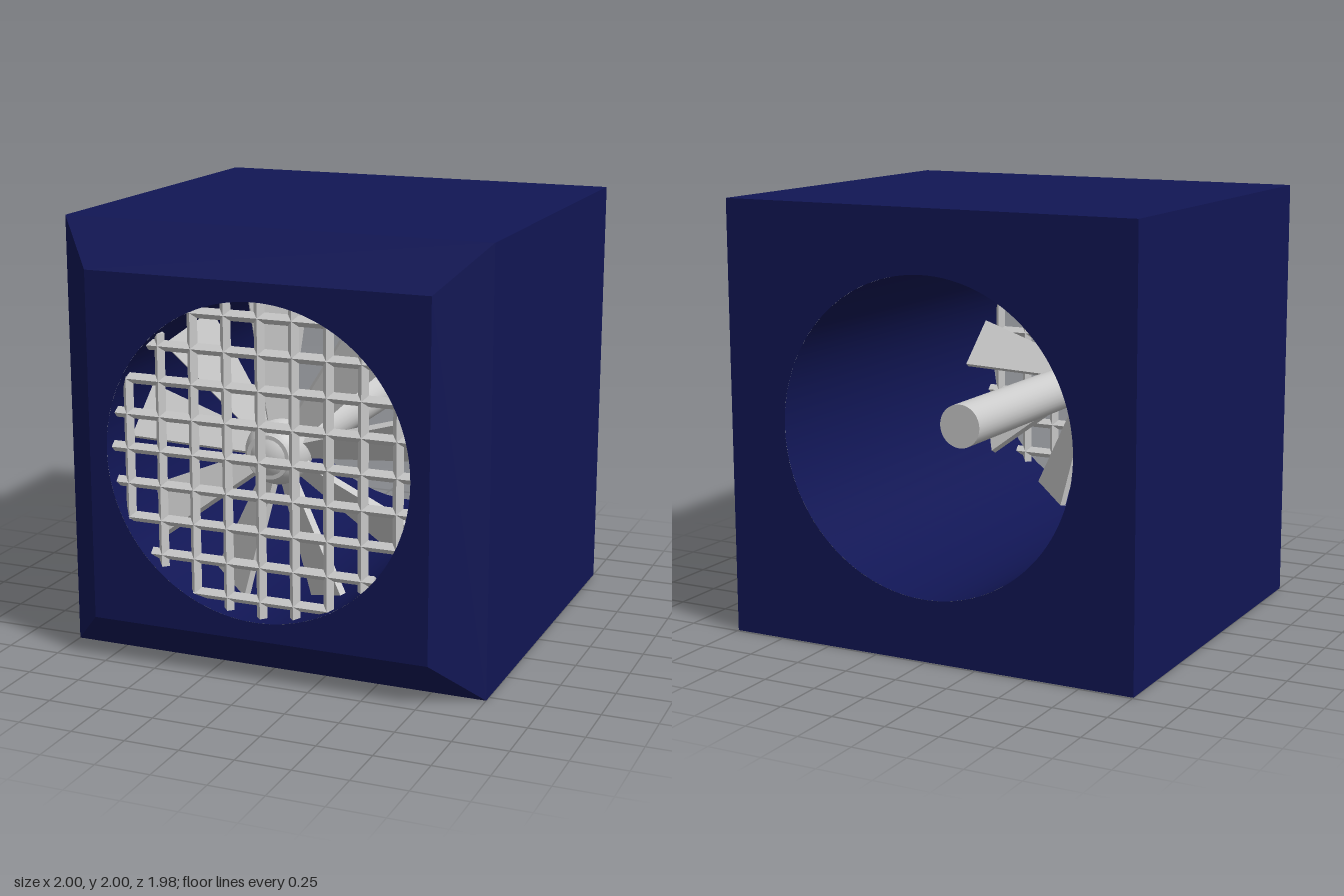
import * as THREE from 'three';

const BORE = 0.715, FRONT = 0.99, BACK = -0.99, BEVEL = 0.79;

export function createModel() {
  const model = new THREE.Group();
  const blue = new THREE.MeshStandardMaterial({ color: 0x111655, flatShading: true });
  const blueBore = new THREE.MeshStandardMaterial({ color: 0x111655, side: THREE.BackSide });
  const grey = new THREE.MeshStandardMaterial({ color: 0xcccccc });
  const greyFlat = new THREE.MeshStandardMaterial({ color: 0xcccccc, flatShading: true });

  const add = (parent, name, geometry, material, x = 0, y = 0, z = 0) => {
    const mesh = new THREE.Mesh(geometry, material);
    mesh.name = name;
    mesh.position.set(x, y, z);
    parent.add(mesh);
    return mesh;
  };
  const group = (name) => {
    const g = new THREE.Group();
    g.name = name;
    g.position.y = 1;
    model.add(g);
    return g;
  };

  // Housing: square shell with a chamfered front and a round bore
  const housing = group('housing');
  const panel = (half) => {
    const s = new THREE.Shape();
    s.moveTo(-half, -half).lineTo(half, -half).lineTo(half, half).lineTo(-half, half).closePath();
    s.holes.push(new THREE.Path().absarc(0, 0, BORE, 0, Math.PI * 2, true));
    return new THREE.ShapeGeometry(s, 64);
  };
  const squareTube = (front, back, depth) =>
    new THREE.CylinderGeometry(front * Math.SQRT2, back * Math.SQRT2, depth, 4, 1, true)
      .rotateY(Math.PI / 4).rotateX(Math.PI / 2);
  add(housing, 'frontPanel', panel(0.8), blue, 0, 0, FRONT);
  add(housing, 'backPanel', panel(1).rotateY(Math.PI), blue, 0, 0, BACK);
  add(housing, 'sideWalls', squareTube(1, 1, BEVEL - BACK), blue, 0, 0, (BEVEL + BACK) / 2);
  add(housing, 'frontChamfer', squareTube(0.8, 1, FRONT - BEVEL), blue, 0, 0, (FRONT + BEVEL) / 2);
  add(housing, 'bore', new THREE.CylinderGeometry(BORE, BORE, FRONT - BACK, 64, 1, true)
    .rotateX(Math.PI / 2), blueBore);

  // Grille: crossed diamond-section bars trimmed to the bore
  const grille = group('grille');
  for (let i = -4; i <= 4; i++) {
    const offset = i * 0.159;
    const length = 2 * Math.sqrt(BORE * BORE - offset * offset);
    const bar = new THREE.CylinderGeometry(0.025, 0.025, length, 4);
    add(grille, 'verticalBar', bar, greyFlat, offset, 0, 0.92);
    add(grille, 'horizontalBar', bar, greyFlat, 0, offset, 0.92).rotation.z = Math.PI / 2;
  }

  // Fan: nine pitched, tapered blades around a round hub on a shaft
  const fan = group('fan');
  const fanZ = 0.72;
  const outline = new THREE.Shape();
  outline.moveTo(-0.045, 0.1).lineTo(0.045, 0.1).lineTo(0.13, 0.68).lineTo(-0.13, 0.68).closePath();
  const blade = new THREE.ExtrudeGeometry(outline, { depth: 0.03, bevelEnabled: false })
    .translate(0, 0, -0.015).rotateY(0.6);
  for (let i = 0; i < 9; i++) {
    add(fan, 'blade', blade, greyFlat, 0, 0, fanZ).rotation.z = i * Math.PI * 2 / 9;
  }
  add(fan, 'hub', new THREE.SphereGeometry(0.15, 32, 20), grey, 0, 0, fanZ);
  const shaftBack = -0.67, shaftFront = fanZ + 0.125;
  add(fan, 'shaft', new THREE.CylinderGeometry(0.1, 0.1, shaftFront - shaftBack, 32)
    .rotateX(Math.PI / 2), grey, 0, 0, (shaftFront + shaftBack) / 2);

  return model;
}
